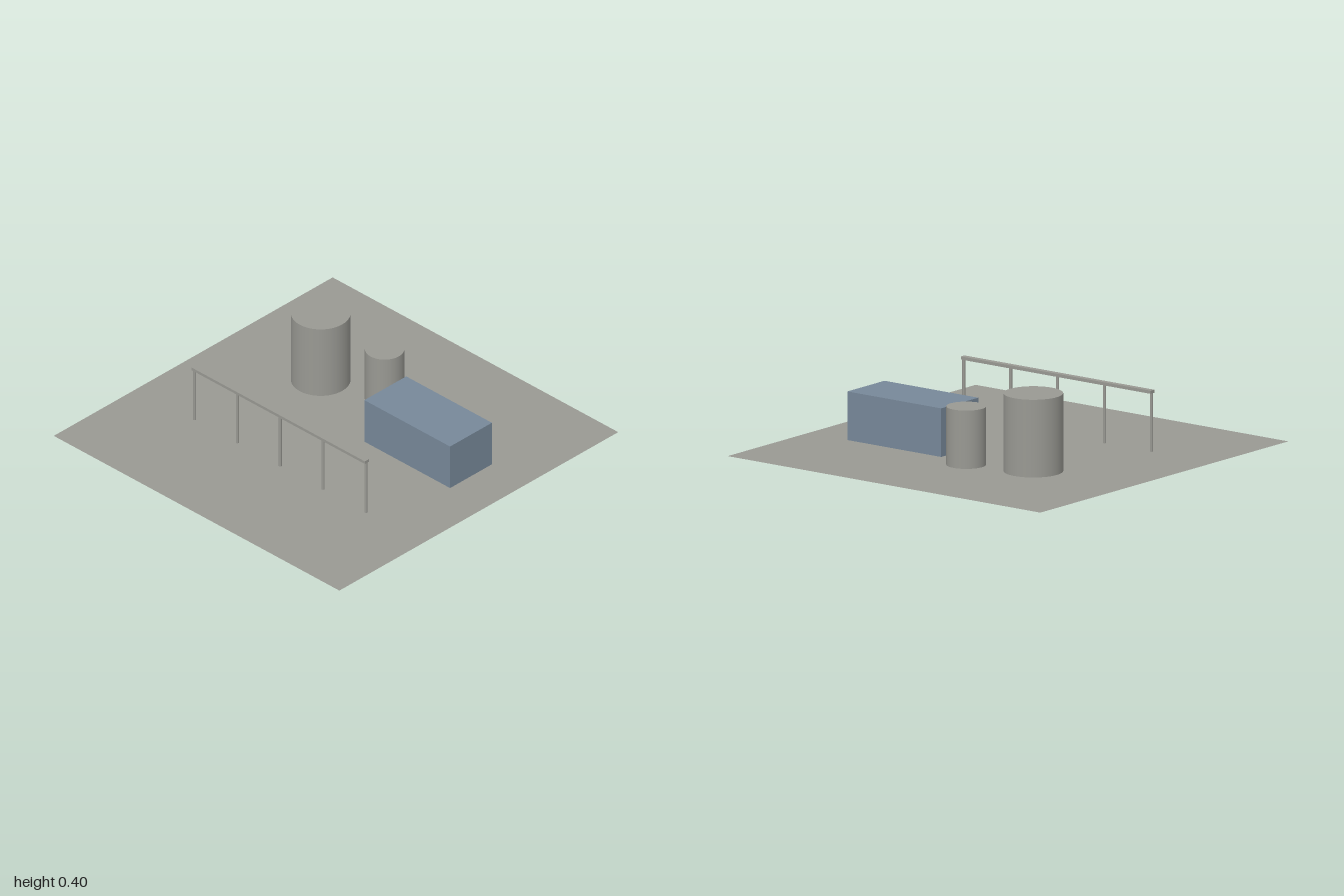
import * as THREE from 'three';

export function createModel() {
  const group = new THREE.Group();
  const concrete = new THREE.MeshStandardMaterial({ name: 'concreteGrey', color: 0x999993 });
  const ground = new THREE.MeshStandardMaterial({ name: 'groundGrey', color: 0x999993, side: THREE.DoubleSide });
  const blue = new THREE.MeshStandardMaterial({ name: 'slateBlue', color: 0x778899 });

  const add = (name, geometry, material, x, y, z) => {
    const mesh = new THREE.Mesh(geometry, material);
    mesh.name = name;
    mesh.position.set(x, y, z);
    group.add(mesh);
  };
  // Upright cylinder standing on the ground
  const upright = (name, radius, height, x, z, sides) =>
    add(name, new THREE.CylinderGeometry(radius, radius, height, sides), concrete, x, height / 2, z);

  // Flat site ground
  add('ground', new THREE.PlaneGeometry(2, 2).rotateX(-Math.PI / 2), ground, 0, 0, 0);

  // Storage tanks
  upright('largeTank', 0.15, 0.4, -0.4, -0.3, 48);
  upright('smallTank', 0.1, 0.3, -0.05, -0.4, 48);

  // Building block
  add('building', new THREE.BoxGeometry(0.6, 0.25, 0.3), blue, 0.45, 0.125, -0.2);

  // Pipe rack: five posts under a long beam
  for (let i = 0; i < 5; i++) upright('rackPost', 0.008, 0.3, -0.6 + i * 0.3, 0.4, 16);
  add('rackBeam', new THREE.BoxGeometry(1.215, 0.016, 0.03), concrete, 0, 0.308, 0.4);

  return group;
}
